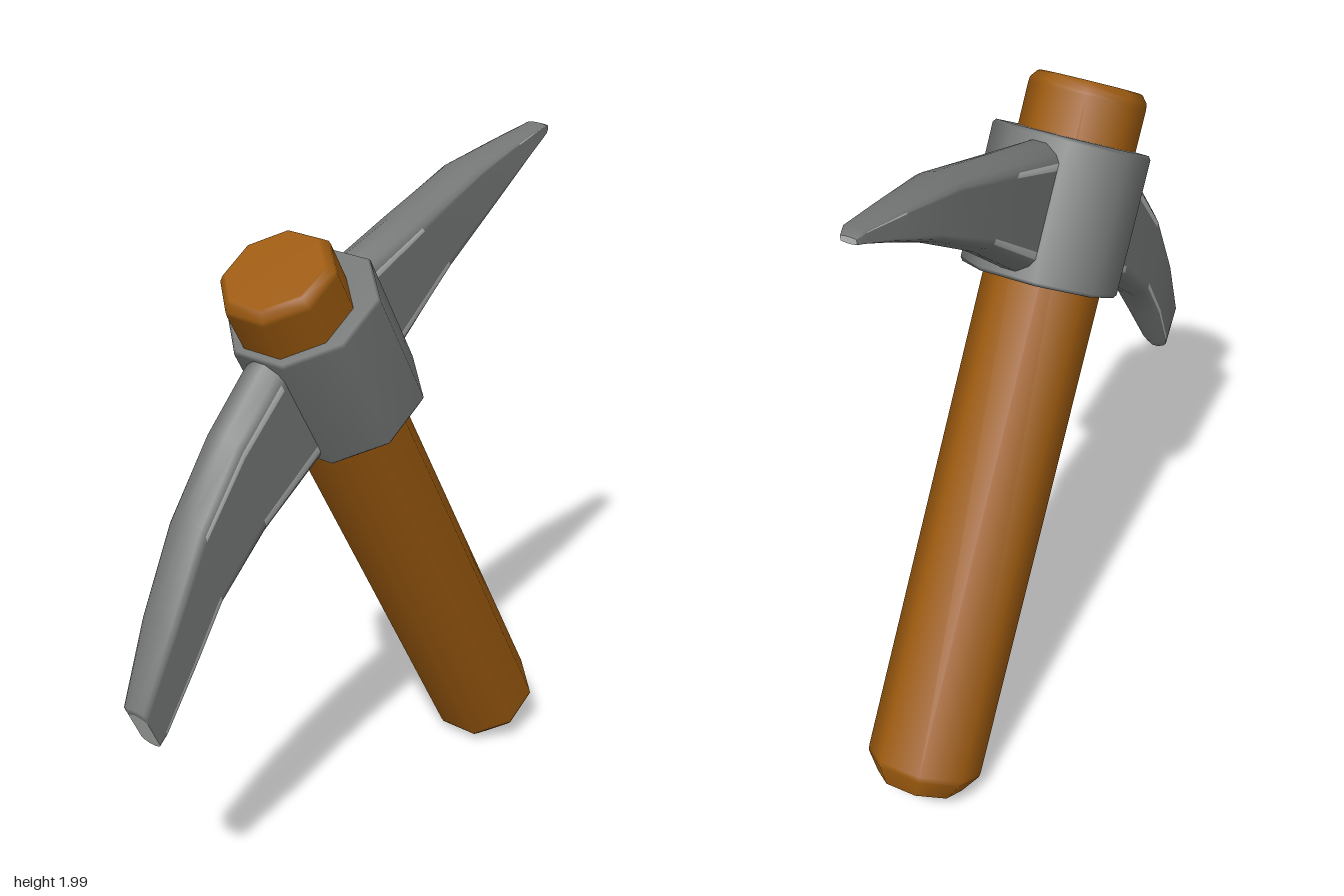
import * as THREE from 'three';

const material = (name, color) => {
  const m = new THREE.MeshStandardMaterial({ color });
  m.name = name;
  return m;
};

// Eight-sided turned part, flats facing front and sides
function turned(name, profile, mat) {
  const pts = profile.map(([r, y]) => new THREE.Vector2(r, y));
  const mesh = new THREE.Mesh(new THREE.LatheGeometry(pts, 8, Math.PI / 8), mat);
  mesh.name = name;
  return mesh;
}

// Half cross-section of a blade: [height fraction, thickness fraction]
const HALF = [[1, 0.3], [0.87, 0.8], [0.75, 1], [0.63, 1], [-0.63, 1], [-0.75, 1], [-0.87, 0.8], [-1, 0.3]];
const RING = [...HALF, ...HALF.map(([v, w]) => [v, -w]).reverse()];
const SHINE = [2, 4, 10, 12]; // narrow bands beside the bevels

// Blade lofted left to right; section = [upper x, y, lower x, y, half thickness]
function blade(name, sections, tipIndex, shineSpans, mats) {
  const pos = [], n = RING.length, faces = [[], []];
  for (const [ux, uy, lx, ly, t] of sections) {
    for (const [v, w] of RING) {
      const k = (v + 1) / 2;
      pos.push(lx + (ux - lx) * k, ly + (uy - ly) * k, w * t);
    }
  }
  for (let i = 0; i < sections.length - 1; i++) {
    for (let j = 0; j < n; j++) {
      const a = i * n + j, b = i * n + (j + 1) % n, c = b + n, d = a + n;
      const shiny = (j === 2 || j === 12) ? shineSpans.upper.includes(i)
        : (j === 4 || j === 10) ? shineSpans.lower.includes(i) : false;
      faces[shiny ? 1 : 0].push(a, b, c, a, c, d);
    }
  }
  // End caps, the tip worn bright
  [0, sections.length - 1].forEach((s, end) => {
    const base = pos.length / 3, [ux, uy, lx, ly] = sections[s];
    for (let j = 0; j < n; j++) pos.push(...pos.slice((s * n + j) * 3, (s * n + j) * 3 + 3));
    pos.push((ux + lx) / 2, (uy + ly) / 2, 0);
    for (let j = 0; j < n; j++) {
      const p = base + j, q = base + (j + 1) % n;
      faces[s === tipIndex ? 1 : 0].push(base + n, ...(end ? [p, q] : [q, p]));
    }
  });
  const g = new THREE.BufferGeometry();
  g.setAttribute('position', new THREE.Float32BufferAttribute(pos, 3));
  g.setIndex([...faces[0], ...faces[1]]);
  g.addGroup(0, faces[0].length, 0);
  g.addGroup(faces[0].length, faces[1].length, 1);
  g.computeVertexNormals();
  const mesh = new THREE.Mesh(g, mats);
  mesh.name = name;
  return mesh;
}

export function createModel() {
  const wood = material('wood', 0x9c5a0f);
  const steel = material('steel', 0x747776);
  const shine = material('bright steel', 0xb4b7b5);
  const model = new THREE.Group();
  model.name = 'pickaxe';

  // Shaft and collar share one tilted axis
  const tilted = new THREE.Group();
  tilted.name = 'shaftAndCollar';
  tilted.position.set(-0.105, 1.55, 0);
  tilted.rotation.z = Math.PI / 6;
  const handle = turned('handle', [
    [0, -1.7], [0.12, -1.7], [0.125, -1.698], [0.164, -1.645], [0.166, -1.63],
    [0.166, 0.32], [0.164, 0.335], [0.148, 0.355], [0.14, 0.358], [0, 0.358],
  ], wood);
  handle.position.x = -0.03;
  const collar = turned('collar', [
    [0.13, -0.2], [0.215, -0.2], [0.222, -0.19], [0.222, 0.19], [0.215, 0.2], [0.13, 0.2],
  ], steel);
  tilted.add(handle, collar);
  model.add(tilted);

  // Pointed blade on the raised side
  model.add(blade('pointedBlade', [
    [-0.08, 1.75, 0.1, 1.44, 0.07],
    [-0.02, 1.8, 0.16, 1.5, 0.07],
    [0.2, 1.865, 0.38, 1.68, 0.07],
    [0.48, 1.95, 0.62, 1.835, 0.065],
    [0.7, 1.98, 0.78, 1.92, 0.045],
    [0.86, 2, 0.87, 1.965, 0.032],
    [0.89, 1.99, 0.89, 1.972, 0.022],
  ], 6, { upper: [1, 4], lower: [1] }, [steel, shine]));

  // Broad blade on the lowered side
  model.add(blade('broadBlade', [
    [-0.88, 0.775, -0.825, 0.66, 0.035],
    [-0.893, 0.8, -0.8, 0.69, 0.043],
    [-0.79, 1.03, -0.7, 0.85, 0.06],
    [-0.67, 1.27, -0.6, 0.99, 0.064],
    [-0.53, 1.46, -0.42, 1.14, 0.066],
    [-0.39, 1.6, -0.18, 1.28, 0.066],
    [-0.32, 1.65, -0.12, 1.32, 0.066],
  ], 0, { upper: [3, 4], lower: [1, 2, 4] }, [steel, shine]));

  return model;
}
